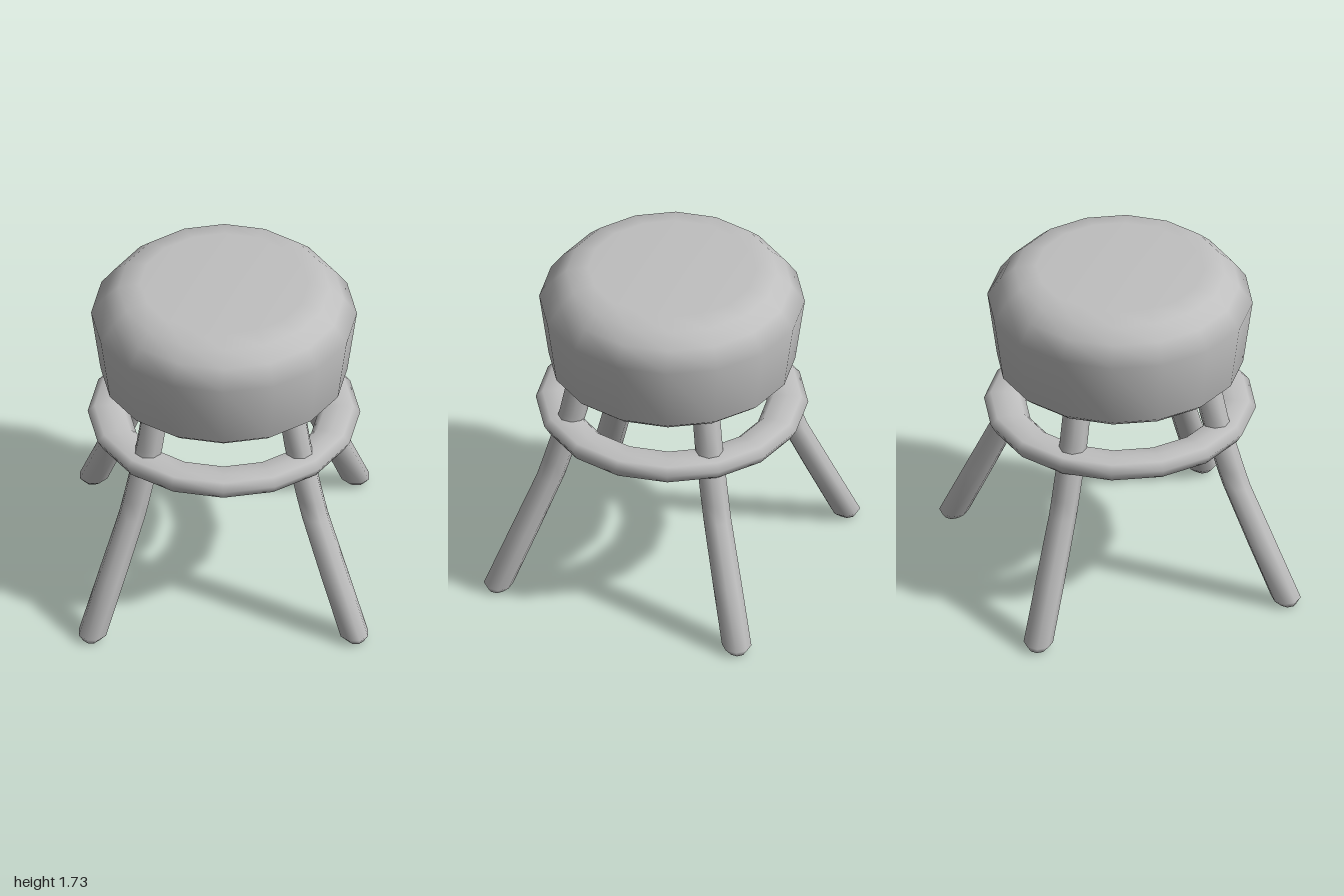
import * as THREE from 'three';
import { mergeVertices } from 'three/addons/utils/BufferGeometryUtils.js';

const lathe = (profile, sides, start = 0) =>
  new THREE.LatheGeometry(profile.map(([r, y]) => new THREE.Vector2(r, y)), sides, start);

// Eight-sided leg: each row is [radius, height, outward offset]
function legGeometry() {
  const rows = [
    [0, 0, 0.94], [0.042, 0, 0.94], [0.074, 0.035, 0.93], [0.073, 0.33, 0.79],
    [0.07, 0.63, 0.65], [0.07, 0.72, 0.618], [0.07, 0.9, 0.558],
    [0.07, 1.0, 0.527], [0.069, 1.25, 0.47],
  ];
  let geo = lathe(rows, 8, Math.PI / 8);
  const pos = geo.attributes.position;
  for (let i = 0; i < pos.count; i++) pos.setX(i, pos.getX(i) + rows[i % rows.length][2]);
  geo.deleteAttribute('uv');
  geo.deleteAttribute('normal');
  geo = mergeVertices(geo, 1e-4);
  geo.computeVertexNormals();
  return geo;
}

export function createModel() {
  const stool = new THREE.Group();
  stool.name = 'stool';
  const grey = new THREE.MeshStandardMaterial({ color: 0xbfbfbf });
  grey.name = 'light grey';

  const add = (name, geo) => {
    const mesh = new THREE.Mesh(geo, grey);
    mesh.name = name;
    stool.add(mesh);
    return mesh;
  };

  // Thick padded seat
  add('seat', lathe([
    [0, 1.165], [0.58, 1.165], [0.62, 1.2], [0.668, 1.55],
    [0.6, 1.645], [0.53, 1.71], [0.42, 1.733], [0, 1.733],
  ], 16));

  // Flat foot ring that the legs pass through
  add('footRing', lathe([
    [0.58, 0.878], [0.655, 0.88], [0.685, 0.932], [0.65, 0.967],
    [0.58, 0.97], [0.51, 0.967], [0.475, 0.932], [0.505, 0.88], [0.58, 0.878],
  ], 16));

  // Four splayed legs
  const leg = legGeometry();
  ['leftLeg', 'backLeg', 'rightLeg', 'frontLeg'].forEach((name, i) => {
    add(name, leg).rotation.y = i * Math.PI / 2;
  });

  return stool;
}
